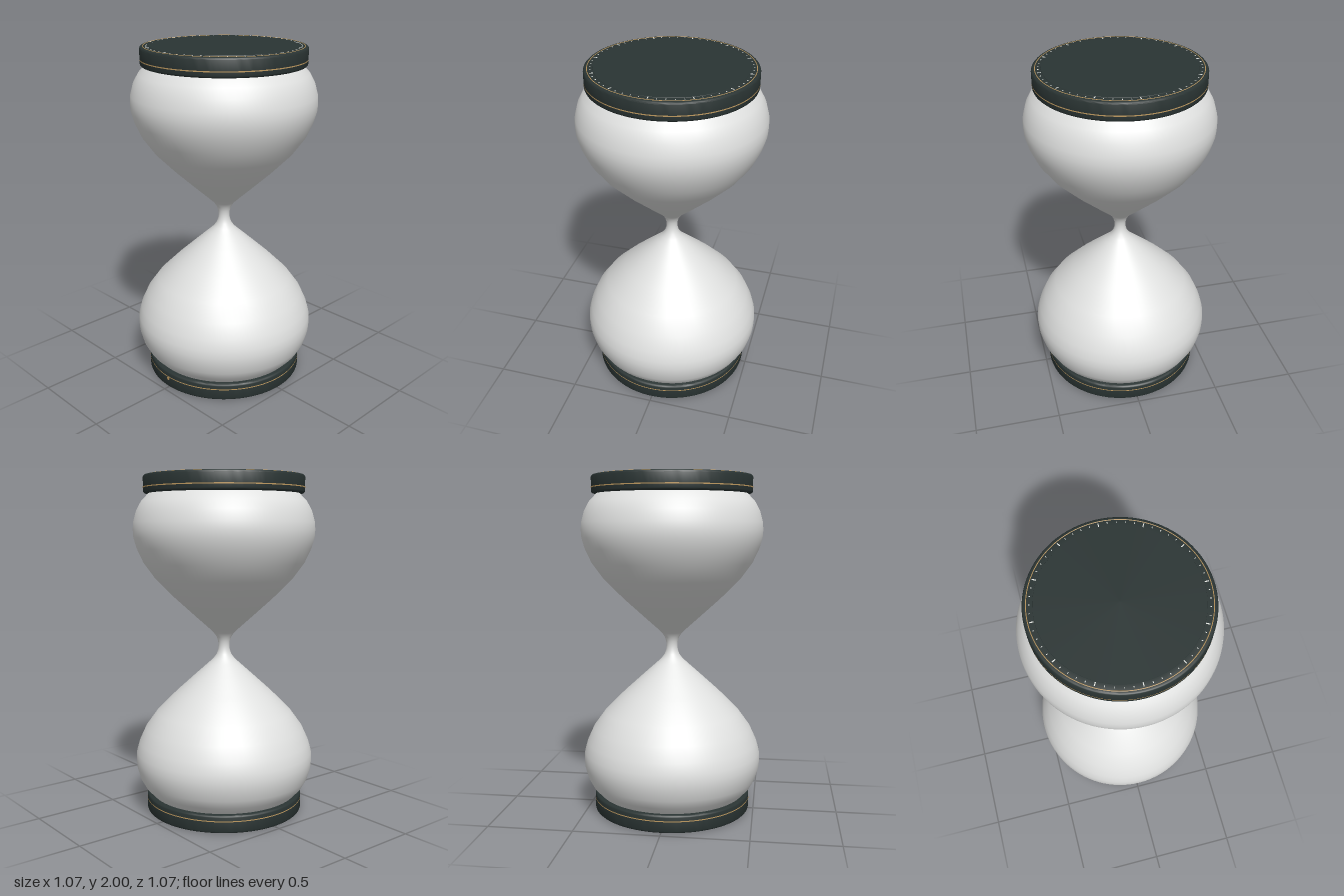
import * as THREE from 'three';
import { toCreasedNormals } from 'three/addons/utils/BufferGeometryUtils.js';

const material = (name, color) => {
  const m = new THREE.MeshStandardMaterial({ color });
  m.name = name;
  return m;
};

const R = 0.47; // cap radius
const H = 0.107; // cap height
const FACE = H - 0.002; // height of the dial face on a cap

function addMesh(parent, name, geometry, mat) {
  const mesh = new THREE.Mesh(geometry, mat);
  mesh.name = name;
  parent.add(mesh);
  return mesh;
}

const lathe = (pts, segments) =>
  new THREE.LatheGeometry(pts.map(([r, y]) => new THREE.Vector2(r, y)), segments);

// Disc cap whose decorated face points up at y = H
function makeCap(name, mats) {
  const cap = new THREE.Group();
  cap.name = name;

  // Body with rounded edges and a slightly raised central disc
  const body = lathe([
    [0, 0], [R - 0.012, 0], [R - 0.006, 0.002], [R - 0.002, 0.006], [R, 0.012],
    [R, H - 0.014], [R - 0.002, H - 0.008], [R - 0.006, H - 0.004],
    [R - 0.012, FACE], [0.418, FACE], [0.417, H], [0, H],
  ], 96);
  addMesh(cap, 'capBody', toCreasedNormals(body, 0.75), mats.dark);

  // Gold line on the face and around the side
  const ring = new THREE.TorusGeometry(0.45, 0.0025, 6, 96);
  ring.rotateX(Math.PI / 2);
  addMesh(cap, 'faceRing', ring, mats.gold).position.y = FACE - 0.0005;
  const band = new THREE.CylinderGeometry(R + 0.0008, R + 0.0008, 0.006, 96, 1, true);
  addMesh(cap, 'sideBand', band, mats.gold).position.y = 0.034;
  return cap;
}

// Sixty dial marks, every fifth one longer
function addTicks(cap, mat) {
  const ticks = new THREE.Group();
  ticks.name = 'dialTicks';
  const major = new THREE.BoxGeometry(0.005, 0.003, 0.02);
  const minor = new THREE.BoxGeometry(0.0035, 0.003, 0.008);
  for (let i = 0; i < 60; i++) {
    const long = i % 5 === 0;
    const r = long ? 0.431 : 0.434;
    const a = (i / 60) * Math.PI * 2;
    const tick = addMesh(ticks, long ? 'majorTick' : 'minorTick', long ? major : minor, mat);
    tick.position.set(Math.sin(a) * r, FACE + 0.0005, Math.cos(a) * r);
    tick.rotation.y = a;
  }
  cap.add(ticks);
}

export function createModel() {
  const model = new THREE.Group();
  model.name = 'hourglass';
  const mats = {
    glass: material('pale glass', 0xe0e1e0),
    dark: material('dark green grey', 0x2a3433),
    gold: material('gold', 0xbf9a60),
    tick: material('white marks', 0xe8eae6),
  };

  // Glass: half profile from neck to cap, mirrored about the waist
  const half = [
    [0.035, 0.025], [0.044, 0.052], [0.062, 0.078], [0.092, 0.106],
    [0.168, 0.174], [0.29, 0.285], [0.405, 0.4], [0.474, 0.495],
    [0.513, 0.58], [0.53, 0.64], [0.533, 0.685], [0.53, 0.73],
    [0.512, 0.795], [0.483, 0.848], [0.434, 0.9], [0.41, 0.92],
  ];
  const profile = [
    ...half.map(([r, y]) => [r, 1 - y]).reverse(),
    [0.033, 1],
    ...half.map(([r, y]) => [r, 1 + y]),
  ];
  addMesh(model, 'glassBulbs', lathe(profile, 96), mats.glass);

  // Top cap carries the dial, bottom cap is the same part turned over
  const topCap = makeCap('topCap', mats);
  topCap.position.y = 2 - H;
  addTicks(topCap, mats.tick);
  const bottomCap = makeCap('bottomCap', mats);
  bottomCap.rotation.x = Math.PI;
  bottomCap.position.y = H;
  model.add(topCap, bottomCap);

  // Small gold stud on the front of the base
  const stud = new THREE.CylinderGeometry(0.01, 0.01, 0.006, 16);
  stud.rotateX(Math.PI / 2);
  addMesh(model, 'frontStud', stud, mats.gold).position.set(0, 0.06, R - 0.002);

  return model;
}
